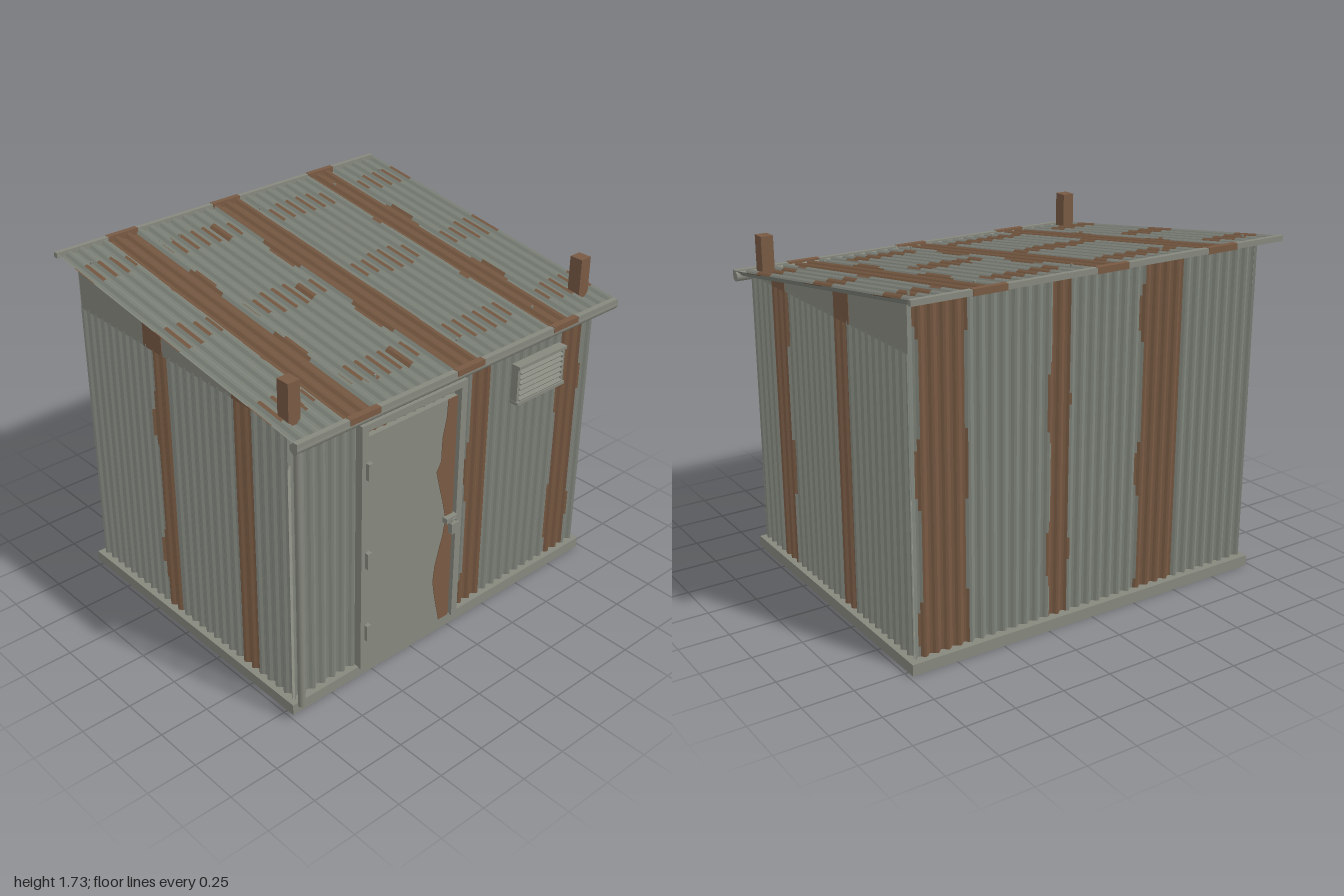
import * as THREE from 'three';

const material = (name, color, extra = {}) => {
  const m = new THREE.MeshStandardMaterial({ color, ...extra });
  m.name = name;
  return m;
};

export function createModel() {
  const shed = new THREE.Group();
  shed.name = 'shed';
  const steel = material('sheet steel', 0x80857c, { side: THREE.DoubleSide, flatShading: true });
  const rust = material('rust', 0x785a43, { side: THREE.DoubleSide, flatShading: true });
  const trim = material('painted trim', 0x86877d);

  const SLOPE = 0.148, PITCH = Math.atan(SLOPE);
  const roofY = (z) => 1.585 - SLOPE * z;

  function add(name, geometry, mat, x = 0, y = 0, z = 0) {
    const mesh = new THREE.Mesh(geometry, mat);
    mesh.name = name;
    mesh.position.set(x, y, z);
    shed.add(mesh);
    return mesh;
  }
  // Box given by its lower and upper limits on each axis
  const box = (name, mat, x0, x1, y0, y1, z0, z1) =>
    add(name, new THREE.BoxGeometry(x1 - x0, y1 - y0, z1 - z0), mat,
      (x0 + x1) / 2, (y0 + y1) / 2, (z0 + z1) / 2);

  // Corrugated sheet in the local xy plane; every cell is either steel or rust
  function sheet(name, { width, waves, amp, bottom, top, rows, isRust }) {
    const cols = waves * 6, cells = [[], []];
    const wave = (i) => amp * Math.cos((i / 6) * Math.PI * 2);
    const point = (i, j) => {
      const x = (i / cols - 0.5) * width;
      return [x, bottom + (top(x) - bottom) * (j / rows), wave(i)];
    };
    for (let i = 0; i < cols; i++) {
      for (let j = 0; j < rows; j++) {
        const a = point(i, j), b = point(i + 1, j), c = point(i + 1, j + 1), d = point(i, j + 1);
        const rusty = isRust((a[0] + b[0]) / 2, (a[1] + c[1]) / 2, (a[2] + b[2]) / 2);
        cells[rusty ? 1 : 0].push(...a, ...b, ...c, ...a, ...c, ...d);
      }
    }
    const g = new THREE.BufferGeometry();
    g.setAttribute('position', new THREE.Float32BufferAttribute(cells[0].concat(cells[1]), 3));
    g.addGroup(0, cells[0].length / 3, 0);
    g.addGroup(cells[0].length / 3, cells[1].length / 3, 1);
    g.computeVertexNormals();
    return add(name, g, [steel, rust]);
  }

  // Vertical rust streaks with uneven edges
  const streaks = (bands) => (u, y) => bands.some(([a, b]) => {
    const bulge = 0.022 * Math.max(0, Math.sin(y * 8.5 + a * 7));
    return u > a - bulge && u < b + bulge * 0.3;
  });

  // Foundation
  box('foundation', trim, -0.98, 0.98, 0, 0.055, -0.79, 0.79);

  // Walls
  const wall = { amp: 0.011, bottom: 0.05, rows: 30 };
  sheet('frontWall', { ...wall, width: 1.9, waves: 32, top: () => 1.455,
    isRust: streaks([[-0.52, -0.39], [0.12, 0.25], [0.75, 0.88]]) }).position.z = 0.757;
  const back = sheet('backWall', { ...wall, width: 1.9, waves: 32, top: () => 1.685,
    isRust: streaks([[-0.9, -0.67], [-0.23, -0.13], [0.29, 0.51]]) });
  back.rotation.y = Math.PI;
  back.position.z = -0.75;
  for (const side of [1, -1]) {
    const sideName = side > 0 ? 'left' : 'right';
    const rustZ = streaks([[-0.2, -0.1], [0.4, 0.52]]);
    const m = sheet(sideName + 'Wall', { ...wall, width: 1.51, waves: 26,
      top: (u) => Math.min(1.48, roofY(-u * side) - 0.012),
      isRust: (u, y) => rustZ(-u * side, y) });
    m.rotation.y = side * Math.PI / 2;
    m.position.x = side * 0.944;

    // Flat gable infill and its rust streak
    const gable = (name, mat, z0, z1, depth) => {
      const s = new THREE.Shape([[z0, 1.465], [z1, 1.465], [z1, roofY(z1) - 0.006], [z0, roofY(z0) - 0.006]]
        .map(([z, y]) => new THREE.Vector2(-z, y)));
      const g = new THREE.ExtrudeGeometry(s, { depth, bevelEnabled: false }).translate(0, 0, -depth / 2);
      add(name, g, mat, side * 0.944).rotation.y = Math.PI / 2;
    };
    gable(sideName + 'Gable', trim, 0.7, -0.755, 0.012);
    gable(sideName + 'GableRust', rust, -0.11, -0.25, 0.017);
    gable(sideName + 'GableFrontRust', rust, 0.53, 0.39, 0.017);

    // Rusty post ends above the roof
    box(sideName + 'PostEnd', rust, side * 0.9 - 0.032, side * 0.9 + 0.032, 1.47, 1.67, 0.67, 0.74);
  }

  // Corrugated roof: rust along the laps and across the purlin lines
  const laps = [-0.63, -0.005, 0.625], purlins = [-0.625, 0, 0.625];
  const half = 0.86 / Math.cos(PITCH);
  const roof = sheet('roof', {
    width: 2, waves: 30, amp: 0.014, bottom: -half, top: () => half, rows: 56,
    isRust: (x, v, d) => {
      const z = -v * Math.cos(PITCH);
      const gap = Math.min(...laps.map((c) => Math.abs(x - c)));
      const bulge = 0.028 * Math.max(0, Math.cos((Math.abs(z) - 0.31) * 9));
      if (gap < 0.07 + bulge) return true;
      const spread = 0.05 + 0.035 * Math.min(1, Math.max(0, (gap - 0.1) / 0.15));
      return d > 0 && gap > 0.1 && purlins.some((c) => Math.abs(z - c) < spread);
    },
  });
  roof.rotation.x = PITCH - Math.PI / 2;
  roof.position.y = 1.585;

  // Roof screws
  for (const x of [-0.91, -0.41, 0.09, 0.59, 0.91]) {
    for (const z of [-0.7, 0.69]) {
      add('roofScrew', new THREE.CylinderGeometry(0.006, 0.006, 0.012, 6), trim, x, roofY(z) + 0.016, z);
    }
  }

  // Edge flashings with rust patches where the laps end
  box('backFlashing', trim, -1, 1, 1.703, 1.729, -0.875, -0.85);
  box('frontFlashing', trim, -1, 1, 1.45, 1.476, 0.845, 0.873);
  for (const c of laps) {
    box('flashingRust', rust, c - 0.085, c + 0.085, 1.449, 1.478, 0.843, 0.875);
    box('flashingRust', rust, c - 0.085, c + 0.085, 1.701, 1.731, -0.877, -0.848);
  }

  // Gutter and downpipe
  const gutter = add('gutter', new THREE.CylinderGeometry(0.025, 0.025, 2, 12), trim, 0, 1.445, 0.85);
  gutter.rotation.z = Math.PI / 2;
  add('downpipe', new THREE.CylinderGeometry(0.018, 0.018, 1.33, 10), trim, -0.98, 0.765, 0.852);

  // Door and frame
  box('door', trim, -0.54, 0.005, 0.055, 1.29, 0.76, 0.79);
  box('doorJamb', trim, -0.583, -0.545, 0.05, 1.36, 0.76, 0.803);
  box('doorJamb', trim, 0.018, 0.055, 0.05, 1.36, 0.76, 0.803);
  box('doorHeader', trim, -0.583, 0.055, 1.327, 1.36, 0.76, 0.803);

  // Wavy rust along the opening edge of the door
  const edge = [[-0.055, 1.29], [-0.06, 1.2], [-0.082, 1.1], [-0.085, 0.98], [-0.112, 0.93], [-0.095, 0.86],
    [-0.065, 0.75], [-0.04, 0.64], [-0.055, 0.56], [-0.1, 0.4], [-0.11, 0.31], [-0.095, 0.22], [-0.06, 0.06]];
  const patch = new THREE.Shape([[0.004, 0.06], [0.004, 1.29], ...edge].map(([x, y]) => new THREE.Vector2(x, y)));
  add('doorRust', new THREE.ExtrudeGeometry(patch, { depth: 0.004, bevelEnabled: false }), rust, 0, 0, 0.789);

  // Hinges
  for (const y of [0.255, 0.66, 1.13]) box('hinge', trim, -0.56, -0.535, y - 0.042, y + 0.042, 0.785, 0.822);

  // Hasp and padlock
  box('hasp', trim, -0.058, 0.012, 0.632, 0.66, 0.785, 0.82);
  box('padlock', trim, -0.047, 0.0, 0.582, 0.638, 0.817, 0.842);
  add('padlockShackle', new THREE.TorusGeometry(0.016, 0.005, 6, 10, Math.PI), trim, -0.023, 0.64, 0.83);

  // Louvred vent
  box('ventBack', trim, 0.4, 0.71, 1.11, 1.29, 0.765, 0.785);
  for (const x of [0.39, 0.702]) box('ventFrame', trim, x, x + 0.016, 1.095, 1.3, 0.765, 0.805);
  for (const y of [1.095, 1.284]) box('ventFrame', trim, 0.388, 0.72, y, y + 0.016, 0.765, 0.815);
  for (let i = 0; i < 6; i++) {
    const slat = box('ventSlat', trim, 0.405, 0.703, 1.122 + i * 0.028, 1.128 + i * 0.028, 0.778, 0.814);
    slat.rotation.x = 0.5;
  }

  return shed;
}
